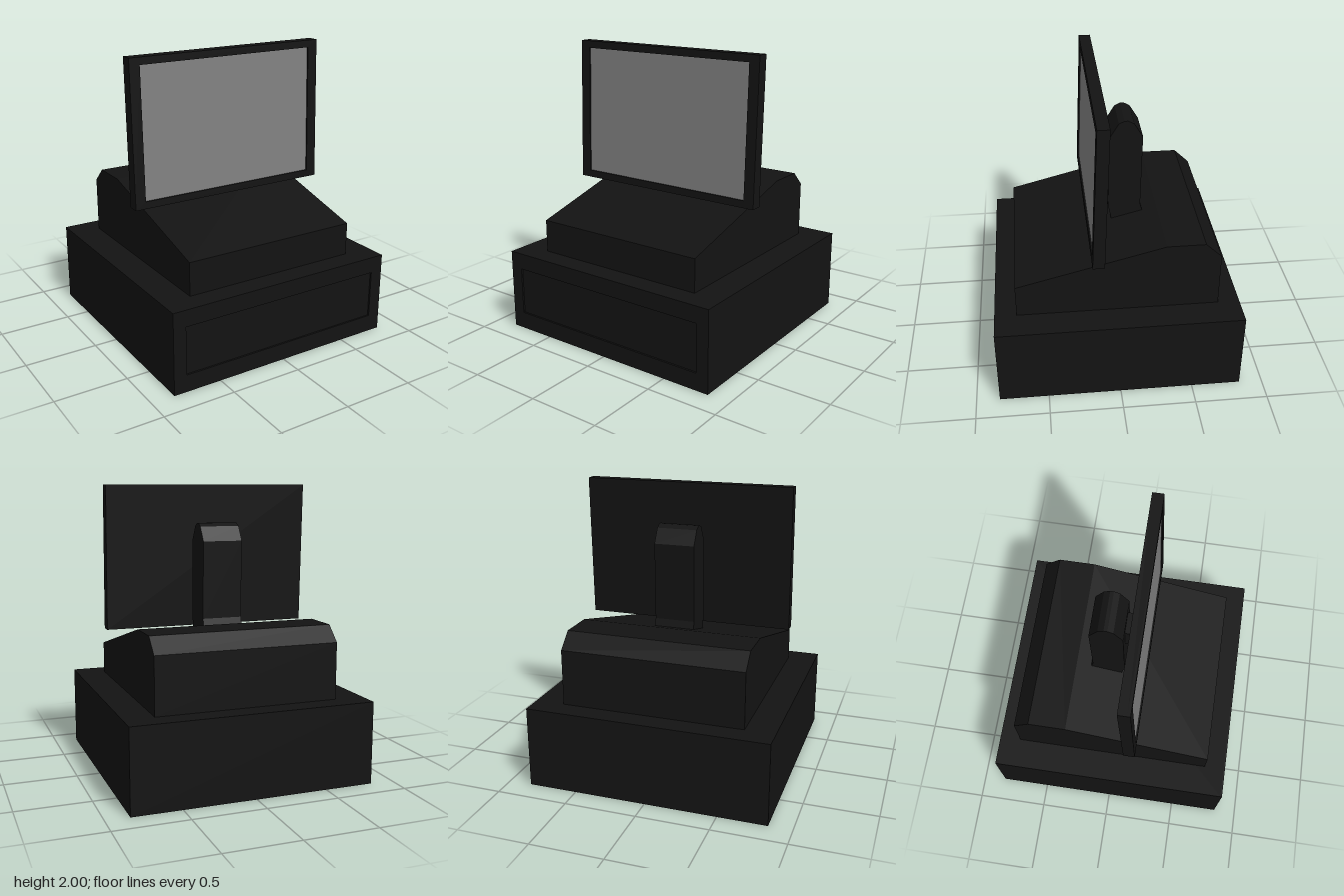
import * as THREE from 'three';

const black = new THREE.MeshStandardMaterial({ color: 0x131313, flatShading: true });
const grey = new THREE.MeshStandardMaterial({ color: 0x808080, flatShading: true });

function add(group, name, geometry, material = black) {
  const mesh = new THREE.Mesh(geometry, material);
  mesh.name = name;
  group.add(mesh);
  return mesh;
}

function box(w, h, d, x, y, z) {
  return new THREE.BoxGeometry(w, h, d).translate(x, y, z);
}

// Side profile given as [z, y] points, extruded across x and centred
function sideProfile(points, width) {
  const shape = new THREE.Shape(points.map(([z, y]) => new THREE.Vector2(z, y)));
  return new THREE.ExtrudeGeometry(shape, { depth: width, bevelEnabled: false })
    .rotateY(-Math.PI / 2)
    .translate(width / 2, 0, 0);
}

function rectangle(PathType, x, y0, y1) {
  return new PathType([[-x, y0], [x, y0], [x, y1], [-x, y1]].map(([a, b]) => new THREE.Vector2(a, b)));
}

// Rectangular frame with a rectangular opening, running from z0 to z1
function frame(outer, inner, z0, z1) {
  const shape = rectangle(THREE.Shape, ...outer);
  shape.holes.push(rectangle(THREE.Path, ...inner));
  return new THREE.ExtrudeGeometry(shape, { depth: z1 - z0, bevelEnabled: false }).translate(0, 0, z0);
}

// Leans the display back while keeping its top and bottom edges level
function lean(geometry) {
  const p = geometry.attributes.position;
  for (let i = 0; i < p.count; i++) p.setZ(i, p.getZ(i) - 0.035 * (p.getY(i) - 1.5));
  geometry.computeVertexNormals();
  return geometry;
}

export function createModel() {
  const model = new THREE.Group();
  model.name = 'cashRegister';

  // Cash drawer with a shallow recessed front
  const drawer = new THREE.Group();
  drawer.name = 'cashDrawer';
  add(drawer, 'drawerCase', box(1.68, 0.57, 1.668, 0, 0.285, -0.006));
  add(drawer, 'drawerFrontFrame', frame([0.84, 0, 0.57], [0.75, 0.12, 0.455], 0.828, 0.84));
  model.add(drawer);

  // Sloping body on top of the drawer
  add(model, 'body', sideProfile([
    [0.69, 0.57], [0.69, 0.8], [-0.32, 1.065], [-0.58, 1.065], [-0.69, 0.96], [-0.69, 0.57],
  ], 1.27));

  // Upright post with a rounded top
  add(model, 'post', sideProfile([
    [0, 0.95], [0, 0.99], [0.02, 1.09], [0.01, 1.62], [-0.052, 1.722], [-0.09, 1.74],
    [-0.115, 1.74], [-0.155, 1.718], [-0.215, 1.62], [-0.205, 1.09], [-0.222, 1.03], [-0.222, 0.95],
  ], 0.28));

  // Arm between post and display
  add(model, 'displayArm', box(0.15, 0.18, 0.13, 0, 1.495, 0.04));

  // Display: back panel, bezel and recessed screen
  const display = new THREE.Group();
  display.name = 'display';
  add(display, 'displayBack', lean(box(1.48, 1, 0.06, 0, 1.5, 0.112)));
  add(display, 'bezel', lean(frame([0.74, 1, 2], [0.665, 1.05, 1.95], 0.142, 0.162)));
  add(display, 'screen', lean(box(1.33, 0.9, 0.012, 0, 1.5, 0.146)), grey);
  model.add(display);

  return model;
}
